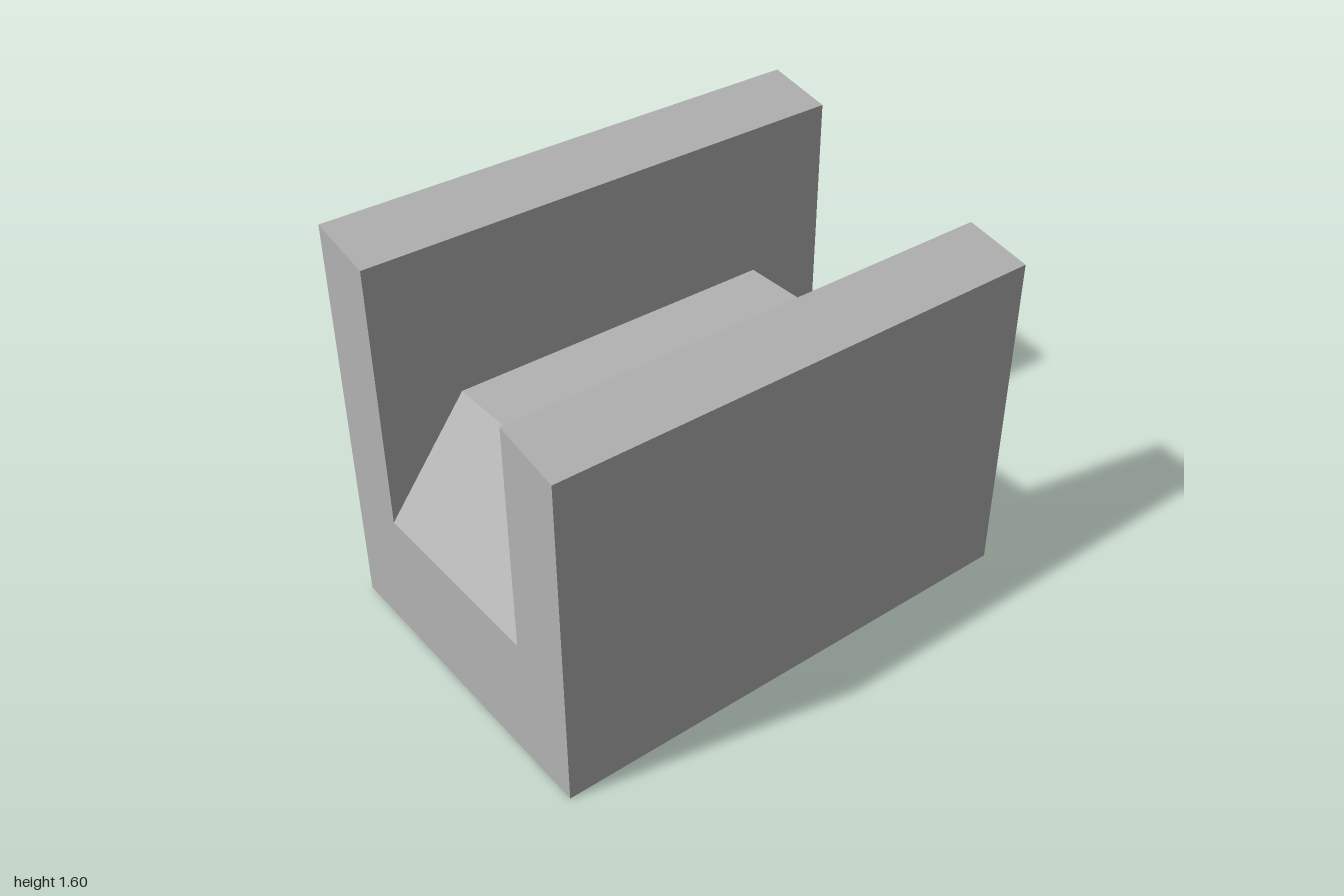
import * as THREE from 'three';

const stone = new THREE.MeshStandardMaterial({ color: 0xb3b3b3 });
stone.name = 'plain grey';

// Extrudes a closed outline and centres it along its depth
function prism(name, points, depth) {
  const shape = new THREE.Shape(points.map(([x, y]) => new THREE.Vector2(x, y)));
  const geometry = new THREE.ExtrudeGeometry(shape, { depth, bevelEnabled: false });
  geometry.translate(0, 0, -depth / 2);
  const mesh = new THREE.Mesh(geometry, stone);
  mesh.name = name;
  return mesh;
}

export function createModel() {
  const model = new THREE.Group();
  model.name = 'channelBlock';

  // Side profile: low front wall, channel, tall back wall, both with sloped tops
  const body = prism('channelBody', [
    [-0.667, 0], [0.667, 0], [0.667, 1.6], [0.4, 1.547],
    [0.4, 0.5], [-0.4, 0.5], [-0.4, 1.388], [-0.667, 1.335],
  ], 2);
  body.geometry.rotateY(Math.PI / 2);
  model.add(body);

  // Raised floor of the channel with a ramp at each end
  model.add(prism('rampedFloor', [
    [-1, 0.5], [1, 0.5], [0.673, 0.935], [-0.673, 0.935],
  ], 0.8));

  return model;
}
